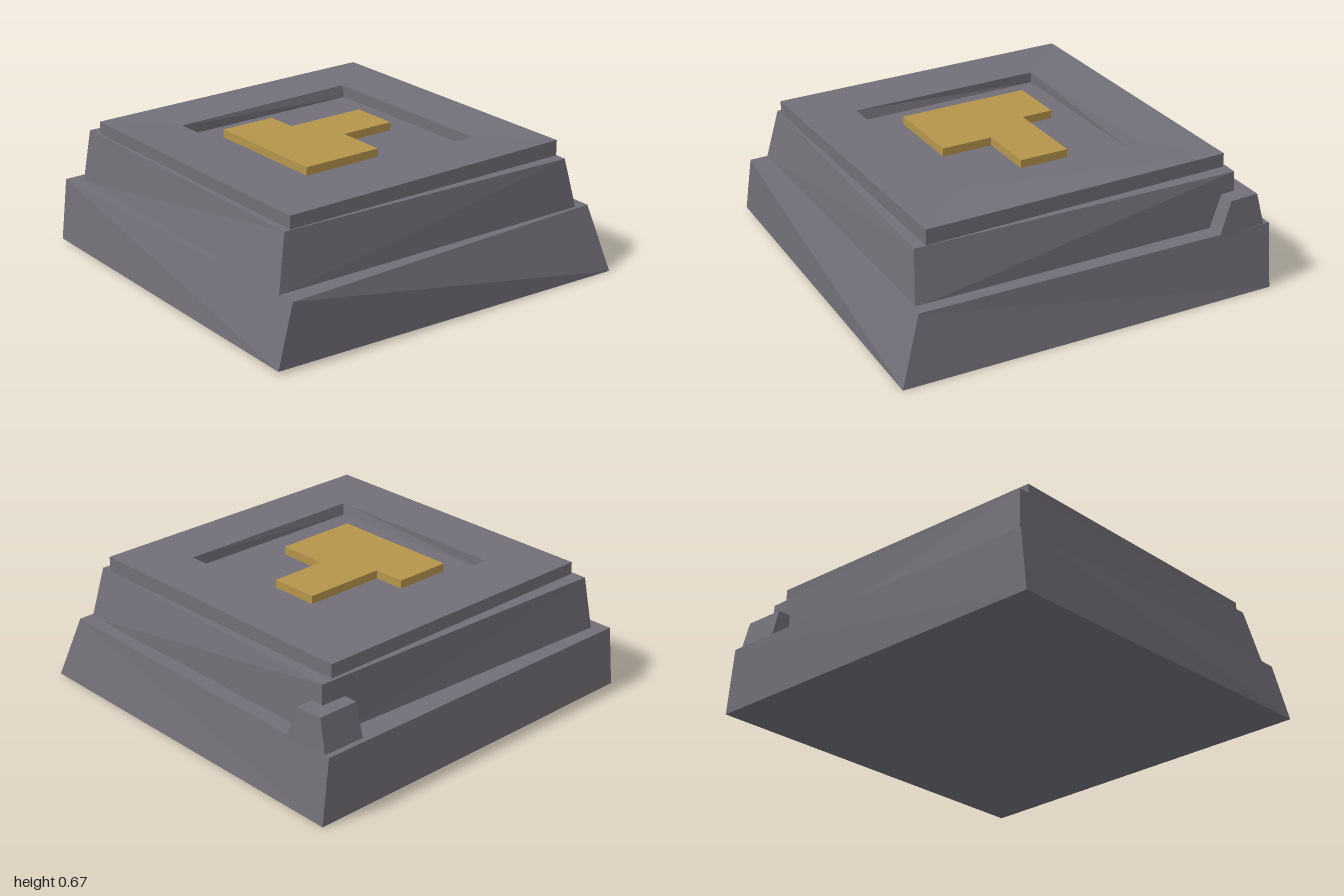
import * as THREE from 'three';

const stone = new THREE.MeshStandardMaterial({ color: 0x726f78 });
stone.name = 'grey stone';
const gold = new THREE.MeshStandardMaterial({ color: 0xb5954b });
gold.name = 'dull gold';

// Joins four-cornered loops (back left, front left, front right, back right)
// into a closed, flat-faced solid. 'falling' picks the diagonal of each side.
function loft(name, loops, falling = true) {
  const pos = [];
  const tri = (...pts) => pts.forEach((p) => pos.push(...p));
  const quad = (a, b, c, d) => {
    if (falling) { tri(a, b, d); tri(b, c, d); }
    else { tri(a, b, c); tri(a, c, d); }
  };
  for (let k = 0; k < loops.length - 1; k++) {
    for (let i = 0; i < 4; i++) {
      const j = (i + 1) % 4;
      quad(loops[k][i], loops[k][j], loops[k + 1][j], loops[k + 1][i]);
    }
  }
  const first = loops[0];
  quad(first[3], first[2], first[1], first[0]);
  quad(...loops[loops.length - 1]);
  const geo = new THREE.BufferGeometry();
  geo.setAttribute('position', new THREE.Float32BufferAttribute(pos, 3));
  geo.computeVertexNormals();
  const mesh = new THREE.Mesh(geo, stone);
  mesh.name = name;
  return mesh;
}

export function createModel() {
  const group = new THREE.Group();
  group.name = 'steppedPlinth';

  // Wide sloping base
  group.add(loft('baseTier', [
    [[-0.965, 0.01, -1], [-1, 0.015, 0.925], [0.975, 0, 0.995], [1, 0, -0.985]],
    [[-0.93, 0.33, -0.995], [-0.915, 0.325, 0.92], [0.915, 0.33, 0.88], [0.96, 0.335, -0.985]],
  ]));

  // Slightly twisted middle tier
  group.add(loft('middleTier', [
    [[-0.865, 0.32, -0.93], [-0.92, 0.32, 0.825], [0.85, 0.32, 0.865], [0.87, 0.32, -0.845]],
    [[-0.835, 0.6, -0.895], [-0.855, 0.595, 0.78], [0.79, 0.585, 0.835], [0.86, 0.6, -0.835]],
  ], false));

  // Top slab with a shallow square recess
  group.add(loft('topSlab', [
    [[-0.82, 0.58, -0.82], [-0.82, 0.58, 0.775], [0.79, 0.58, 0.775], [0.79, 0.58, -0.82]],
    [[-0.82, 0.662, -0.82], [-0.82, 0.66, 0.775], [0.79, 0.664, 0.775], [0.79, 0.67, -0.82]],
    [[-0.525, 0.662, -0.52], [-0.525, 0.661, 0.49], [0.495, 0.663, 0.49], [0.495, 0.666, -0.54]],
    [[-0.525, 0.606, -0.52], [-0.51, 0.606, 0.475], [0.495, 0.606, 0.488], [0.495, 0.606, -0.522]],
  ]));

  // Small tapered block on the back corner ledge
  group.add(loft('cornerBlock', [
    [[0.73, 0.32, -0.96], [0.73, 0.32, -0.7], [0.957, 0.32, -0.7], [0.957, 0.32, -0.958]],
    [[0.73, 0.5, -0.915], [0.73, 0.5, -0.765], [0.945, 0.495, -0.765], [0.945, 0.5, -0.915]],
  ]));

  // Raised inlay in the recess, drawn in x and -z
  const outline = [
    [-0.375, -0.305], [0.055, -0.305], [0.055, -0.04], [0.35, -0.04],
    [0.35, 0.215], [-0.08, 0.215], [-0.08, 0.38], [-0.375, 0.38],
  ].map(([x, y]) => new THREE.Vector2(x, y));
  const inlay = new THREE.Mesh(
    new THREE.ExtrudeGeometry(new THREE.Shape(outline), { depth: 0.043, bevelEnabled: false }),
    gold,
  );
  inlay.name = 'goldInlay';
  inlay.rotation.x = -Math.PI / 2;
  inlay.position.y = 0.605;
  group.add(inlay);

  return group;
}
